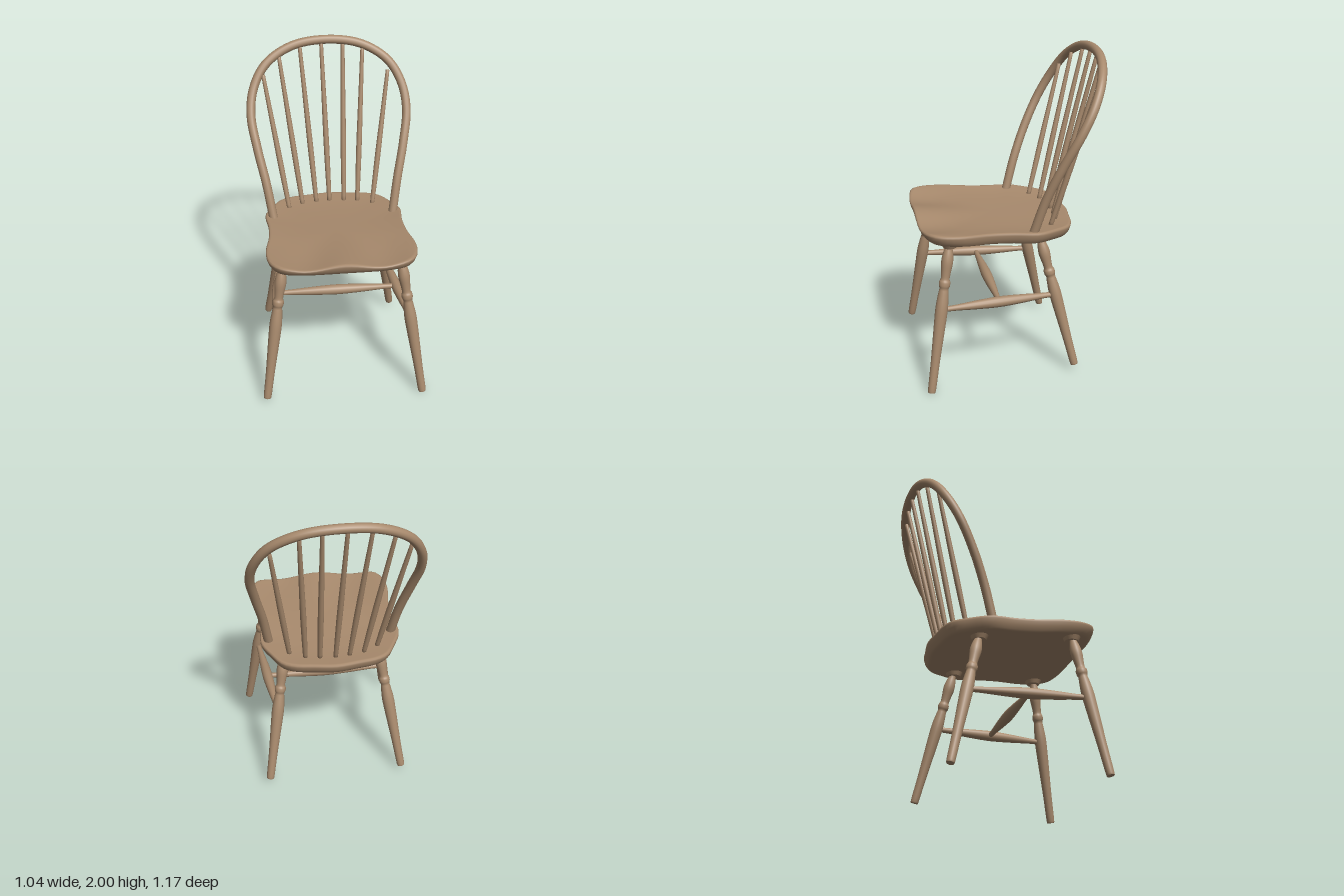
import * as THREE from 'three';

const wood = new THREE.MeshStandardMaterial({ color: 0xa88a6d });
wood.name = 'wood';
const V = (x, y, z) => new THREE.Vector3(x, y, z);
const lerp = THREE.MathUtils.lerp;

// Turned rod from a to b; profile is a list of [position 0..1, radius]
function turned(name, a, b, profile, sides = 16, steps = 30) {
  const length = a.distanceTo(b);
  const curve = new THREE.SplineCurve(profile.map(([t, r]) => new THREE.Vector2(r, t * length)));
  const points = curve.getPoints(steps);
  points.unshift(new THREE.Vector2(0, 0));
  points.push(new THREE.Vector2(0, length));
  const mesh = new THREE.Mesh(new THREE.LatheGeometry(points, sides), wood);
  mesh.name = name;
  mesh.position.copy(a);
  mesh.quaternion.setFromUnitVectors(V(0, 1, 0), b.clone().sub(a).normalize());
  return mesh;
}

// Saddled seat: one outline scaled through a series of rings
const seatBottom = (z) => 0.899 + 0.064 * z;
function seatTop(x, z, s) {
  const front = THREE.MathUtils.smoothstep(z, 0.15, 0.55);
  const wave = 0.03 * Math.sin(Math.PI * Math.min(Math.abs(x), 0.4) / 0.46) ** 2;
  return 0.98 + 0.064 * z - front * wave - 0.022 * (1 - s ** 4) * (1 - 0.5 * front);
}
function seatGeometry() {
  const half = [[0.15, -0.388], [0.25, -0.372], [0.325, -0.335], [0.386, -0.24], [0.435, -0.13],
    [0.424, 0.03], [0.428, 0.17], [0.455, 0.35], [0.44, 0.47], [0.395, 0.535], [0.29, 0.562]];
  const outline = [[0, -0.407], ...half, [0, 0.572], ...half.map(([x, z]) => [-x, z]).reverse()];
  const n = 96;
  const loop = new THREE.CatmullRomCurve3(outline.map(([x, z]) => V(x, 0, z)), true).getSpacedPoints(n);
  // [outline scale, height between underside and top]
  const rings = [[0, 1], [0.2, 1], [0.4, 1], [0.6, 1], [0.75, 1], [0.88, 1], [0.96, 1], [0.985, 0.98], [1, 0.9],
    [1, 0.75], [0.985, 0.45], [0.955, 0.16], [0.935, 0.04], [0.91, 0], [0.6, 0], [0, 0]];
  const pos = [], index = [];
  rings.forEach(([s, v], r) => {
    for (let i = 0; i < n; i++) {
      const x = loop[i].x * s, z = 0.08 + (loop[i].z - 0.08) * s;
      pos.push(x, lerp(seatBottom(z), seatTop(x, z, s), v), z);
      if (r === 0) continue;
      const j = (i + 1) % n, a = (r - 1) * n, b = r * n;
      index.push(a + i, b + j, b + i, a + i, a + j, b + j);
    }
  });
  const g = new THREE.BufferGeometry();
  g.setAttribute('position', new THREE.Float32BufferAttribute(pos, 3));
  g.setIndex(index);
  g.computeVertexNormals();
  return g;
}

export function createModel() {
  const model = new THREE.Group();
  model.name = 'spindleBackChair';

  const seat = new THREE.Mesh(seatGeometry(), wood);
  seat.name = 'seat';
  model.add(seat);

  // Legs, with a turned neck, a ring and a long taper
  const legProfile = [[0, 0.02], [0.02, 0.025], [0.2, 0.028], [0.45, 0.036], [0.57, 0.038], [0.66, 0.031],
    [0.69, 0.028], [0.71, 0.034], [0.735, 0.034], [0.755, 0.027], [0.8, 0.03], [0.86, 0.036], [0.91, 0.032],
    [0.96, 0.022], [1, 0.021]];
  const legs = {
    frontLeftLeg: [V(0.5, 0.004, 0.56), V(0.355, 0.94, 0.405)],
    frontRightLeg: [V(-0.49, 0.035, 0.555), V(-0.36, 0.94, 0.405)],
    backLeftLeg: [V(0.43, 0.045, -0.365), V(0.295, 0.9, -0.16)],
    backRightLeg: [V(-0.44, 0.04, -0.36), V(-0.295, 0.9, -0.16)],
  };
  for (const [name, [foot, top]] of Object.entries(legs)) {
    model.add(turned(name, foot, top, legProfile, 18, 48));
    // Socket pad under the seat
    const pad = new THREE.Mesh(new THREE.CylinderGeometry(0.062, 0.042, 0.04, 18), wood);
    pad.name = name + 'Pad';
    pad.position.set(top.x, seatBottom(top.z) - 0.004, top.z);
    model.add(pad);
  }

  // Stretchers joining the legs in an H
  const at = (name, y) => {
    const [a, b] = legs[name];
    return a.clone().lerp(b, (y - a.y) / (b.y - a.y));
  };
  const stretcherProfile = [[0, 0.016], [0.12, 0.018], [0.3, 0.027], [0.5, 0.033], [0.7, 0.027], [0.88, 0.018], [1, 0.016]];
  const mids = ['Left', 'Right'].map((side) => {
    const a = at(`front${side}Leg`, 0.52), b = at(`back${side}Leg`, 0.515);
    model.add(turned(`side${side}Stretcher`, a, b, stretcherProfile));
    return a.lerp(b, 0.5);
  });
  model.add(turned('crossStretcher', mids[0], mids[1], stretcherProfile));

  // Bent bow of the back, leaning rearwards
  const bowHalf = [[0.385, 0.95, -0.1], [0.42, 1.17, -0.165], [0.465, 1.38, -0.25], [0.494, 1.57, -0.345],
    [0.468, 1.72, -0.425], [0.385, 1.85, -0.49], [0.22, 1.943, -0.54]];
  const bowPoints = [...bowHalf, [0, 1.972, -0.557], ...bowHalf.map(([x, y, z]) => [-x, y, z]).reverse()];
  const bowCurve = new THREE.CatmullRomCurve3(bowPoints.map((p) => V(...p)));
  const bow = new THREE.Mesh(new THREE.TubeGeometry(bowCurve, 120, 0.028, 14), wood);
  bow.name = 'backBow';
  model.add(bow);

  // Spindles: bottom x, bottom z, top x, top y, top z
  const spindles = [[-0.275, -0.23, -0.405, 1.79, -0.46], [-0.185, -0.28, -0.3, 1.885, -0.51],
    [-0.092, -0.3, -0.167, 1.95, -0.545], [-0.005, -0.307, -0.03, 1.965, -0.553],
    [0.09, -0.3, 0.107, 1.96, -0.55], [0.178, -0.285, 0.23, 1.92, -0.53], [0.27, -0.235, 0.385, 1.79, -0.46]];
  const spindleProfile = [[0, 0.014], [0.2, 0.017], [0.4, 0.018], [0.7, 0.015], [1, 0.012]];
  spindles.forEach(([x0, z0, x1, y1, z1], i) => {
    model.add(turned(`spindle${i + 1}`, V(x0, 0.94, z0), V(x1, y1, z1), spindleProfile, 12, 16));
  });

  return model;
}
